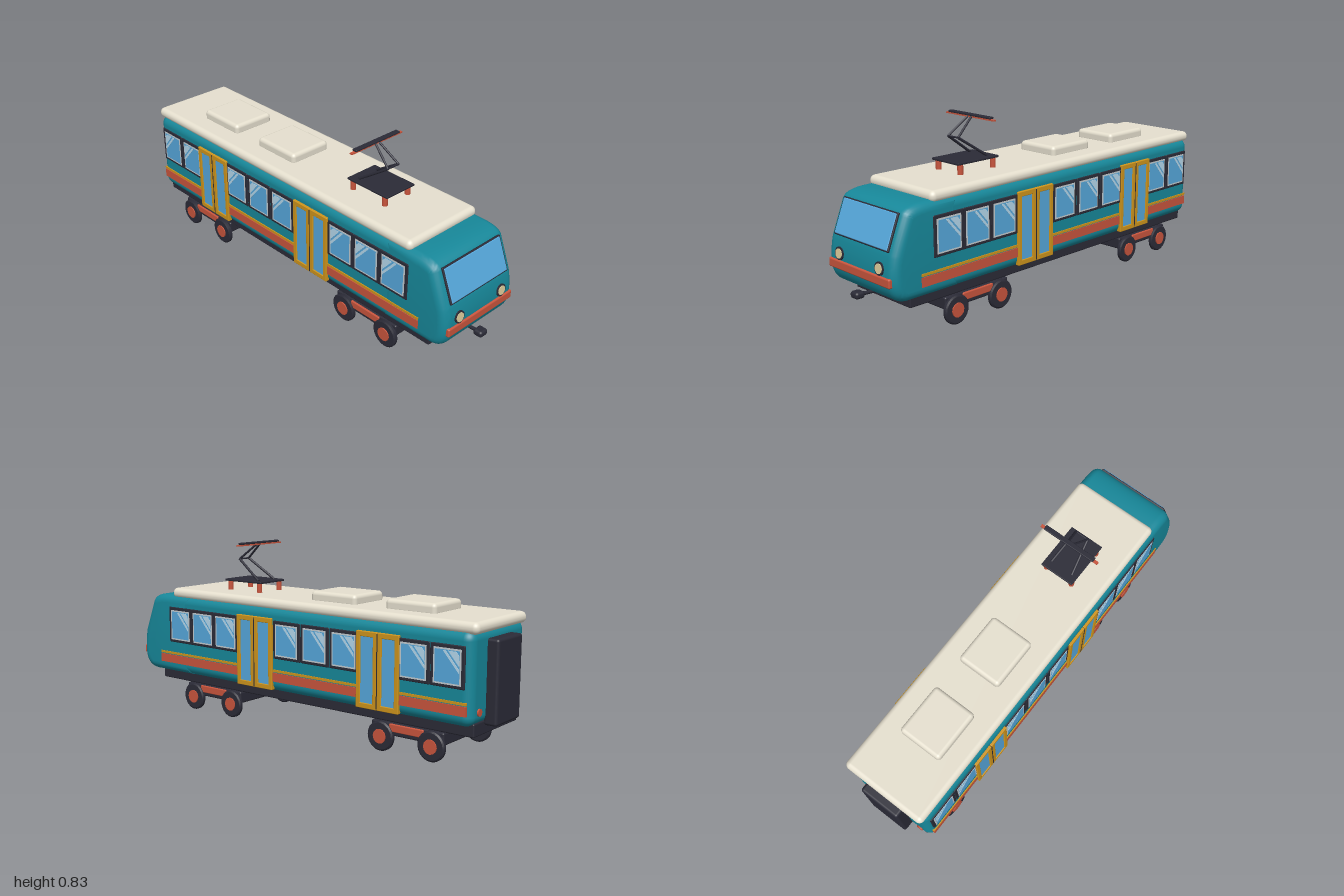
import * as THREE from 'three';
import { RoundedBoxGeometry } from 'three/addons/geometries/RoundedBoxGeometry.js';
import { toCreasedNormals } from 'three/addons/utils/BufferGeometryUtils.js';

const mat = (color) => new THREE.MeshStandardMaterial({ color });
const M = {
  teal: mat(0x17889a), cream: mat(0xe6e0cf), orange: mat(0xc9553d), gold: mat(0xcf951c),
  dark: mat(0x2b2b37), glass: mat(0x56a8dc), trim: mat(0xc3cdd2), lamp: mat(0xdccb9a), shine: mat(0xb5d9ee),
};

export function createModel() {
  const model = new THREE.Group();
  model.name = 'tram';

  const add = (name, geo, material, x = 0, y = 0, z = 0, parent = model) => {
    const mesh = new THREE.Mesh(geo, material);
    mesh.name = name;
    mesh.position.set(x, y, z);
    parent.add(mesh);
    return mesh;
  };
  // box given by its extents; z is centre and depth
  const box = (name, material, x0, x1, y0, y1, z, d, r = 0, parent = model) => {
    const w = x1 - x0, h = y1 - y0;
    const geo = r ? new RoundedBoxGeometry(w, h, d, 4, r) : new THREE.BoxGeometry(w, h, d);
    return add(name, geo, material, (x0 + x1) / 2, (y0 + y1) / 2, z, parent);
  };
  const rod = (name, a, b, r, material, parent = model) => {
    const from = new THREE.Vector3(...a), to = new THREE.Vector3(...b);
    const dir = to.clone().sub(from);
    const mesh = add(name, new THREE.CylinderGeometry(r, r, dir.length(), 12), material, 0, 0, 0, parent);
    mesh.position.copy(from).add(to).multiplyScalar(0.5);
    mesh.quaternion.setFromUnitVectors(new THREE.Vector3(0, 1, 0), dir.normalize());
    return mesh;
  };

  // Passenger body and roof
  box('body', M.teal, -0.95, 0.78, 0.177, 0.566, 0, 0.438, 0.042);
  box('roof', M.cream, -0.965, 0.752, 0.55, 0.6, 0, 0.42, 0.024);

  // Cab: side profile extruded across the width with rounded edges
  const bevel = 0.04;
  const profile = new THREE.Shape();
  profile.moveTo(0.62, 0.177);
  profile.lineTo(0.885, 0.177);
  profile.bezierCurveTo(0.935, 0.18, 0.962, 0.215, 0.964, 0.27);
  profile.quadraticCurveTo(0.966, 0.325, 0.951, 0.383);
  profile.lineTo(0.893, 0.528);
  profile.quadraticCurveTo(0.878, 0.566, 0.78, 0.566);
  profile.lineTo(0.62, 0.566);
  const cab = new THREE.ExtrudeGeometry(profile, {
    depth: 0.44 - 2 * bevel, bevelThickness: bevel, bevelSize: bevel,
    bevelOffset: -bevel, bevelSegments: 6, curveSegments: 10,
  });
  cab.translate(0, 0, -0.22 + bevel);
  add('cab', toCreasedNormals(cab, 0.6), M.teal);

  // Windscreen lying on the sloped cab face
  const screen = new THREE.Group();
  screen.name = 'windscreen';
  screen.position.set(0.921, 0.464, 0);
  screen.rotation.z = 0.38;
  model.add(screen);
  add('windscreenFrame', new RoundedBoxGeometry(0.012, 0.16, 0.36, 2, 0.004), M.dark, 0, 0, 0, screen);
  add('windscreenGlass', new RoundedBoxGeometry(0.012, 0.15, 0.348, 2, 0.004), M.glass, 0.003, 0, 0, screen);

  // Bumper, headlights, coupler
  box('bumper', M.orange, 0.925, 0.972, 0.25, 0.29, 0, 0.404, 0.007);
  for (const s of [-1, 1]) {
    const ring = add('headlightRing', new THREE.CylinderGeometry(0.028, 0.028, 0.02, 28), M.dark, 0.957, 0.318, s * 0.133);
    const lamp = add('headlight', new THREE.CylinderGeometry(0.021, 0.021, 0.024, 28), M.lamp, 0.958, 0.318, s * 0.133);
    ring.rotation.z = lamp.rotation.z = -Math.PI / 2 + 0.1;
  }
  box('coupler', M.dark, 0.955, 1, 0.165, 0.195, 0, 0.048, 0.012);
  rod('couplerShank', [0.84, 0.17, 0], [0.97, 0.178, 0], 0.008, M.dark);

  // Rear gangway and tail lights
  box('gangway', M.dark, -1, -0.94, 0.17, 0.525, 0, 0.2, 0.012);
  for (const s of [-1, 1]) {
    rod('tailLight', [-0.94, 0.235, s * 0.155], [-0.957, 0.235, s * 0.155], 0.016, M.orange);
  }

  // Window glare: two slanted bands
  const band = (a, b) => {
    const p = [[-0.056 + a, 0.056], [-0.056 + b, 0.056], [-0.056, 0.056 - b * 1.15], [-0.056, 0.056 - a * 1.15]];
    return new THREE.Shape(p.map(([x, y]) => new THREE.Vector2(x, y)));
  };
  const glare = new THREE.ExtrudeGeometry([band(0.014, 0.052), band(0.062, 0.076)], { depth: 0.002, bevelEnabled: false });
  glare.translate(0, 0, -0.001);

  const windows = [-0.842, -0.682, -0.33, -0.168, -0.006, 0.372, 0.526, 0.68];
  const doors = [-0.508, 0.185];
  for (const s of [-1, 1]) {
    // Side windows
    for (const x of windows) {
      const w = new THREE.Group();
      w.name = 'sideWindow';
      model.add(w);
      box('windowFrame', M.dark, x - 0.079, x + 0.079, 0.332, 0.507, s * 0.217, 0.014, 0.004, w);
      box('windowTrim', M.trim, x - 0.064, x + 0.064, 0.345, 0.492, s * 0.219, 0.013, 0, w);
      box('windowGlass', M.glass, x - 0.057, x + 0.057, 0.352, 0.485, s * 0.22, 0.013, 0, w);
      add('windowGlare', glare, M.shine, x, 0.426, s * 0.2265, w);
    }
    // Double doors: framed leaves around glass
    for (const x of doors) {
      for (const k of [-1, 1]) {
        const leaf = new THREE.Group();
        leaf.name = 'doorLeaf';
        model.add(leaf);
        const c = x + k * 0.0545;
        box('doorGlass', M.glass, c - 0.045, c + 0.045, 0.2, 0.505, s * 0.217, 0.018, 0, leaf);
        for (const e of [-1, 1]) {
          box('doorStile', M.gold, c + e * 0.043 - 0.0105, c + e * 0.043 + 0.0105, 0.185, 0.516, s * 0.22, 0.022, 0.003, leaf);
          const y = 0.3505 + e * 0.154;
          box('doorRail', M.gold, c - 0.053, c + 0.053, y - 0.0115, y + 0.0115, s * 0.22, 0.022, 0.003, leaf);
        }
        box('doorSeal', M.dark, x - 0.002, x + 0.002, 0.19, 0.51, s * 0.22, 0.0235, 0, leaf);
      }
    }
    // Stripes along the side
    box('orangeStripe', M.orange, -0.93, 0.825, 0.225, 0.266, s * 0.217, 0.013);
    box('goldStripe', M.gold, -0.93, 0.825, 0.27, 0.281, s * 0.217, 0.013);
  }

  // Chassis and bogies
  box('chassis', M.dark, -0.945, 0.855, 0.133, 0.19, 0, 0.36, 0.006);
  for (const x of [-0.631, 0.496]) {
    const bogie = new THREE.Group();
    bogie.name = 'bogie';
    bogie.position.x = x;
    model.add(bogie);
    box('bogieFrame', M.dark, -0.18, 0.18, 0.075, 0.131, 0, 0.37, 0.008, bogie);
    for (const s of [-1, 1]) {
      box('bogieSideBeam', M.orange, -0.085, 0.085, 0.094, 0.128, s * 0.185, 0.014, 0.004, bogie);
      for (const k of [-1, 1]) {
        const wx = k * 0.126;
        // tyre with softened rims
        const tyre = [[0, -0.011], [0.058, -0.011], [0.065, -0.006], [0.065, 0.006], [0.058, 0.011], [0, 0.011]]
          .map(([r, h]) => new THREE.Vector2(r, h));
        const wheel = add('wheel', toCreasedNormals(new THREE.LatheGeometry(tyre, 36), 0.5), M.dark, wx, 0.068, s * 0.189, bogie);
        wheel.rotation.x = Math.PI / 2;
        rod('wheelHub', [wx, 0.068, s * 0.185], [wx, 0.068, s * 0.205], 0.032, M.orange, bogie);
      }
    }
  }

  // Roof units
  for (const x of [-0.585, -0.178]) box('roofUnit', M.cream, x - 0.125, x + 0.125, 0.585, 0.641, 0, 0.216, 0.018);

  // Pantograph
  const panto = new THREE.Group();
  panto.name = 'pantograph';
  model.add(panto);
  box('pantographBase', M.dark, 0.27, 0.505, 0.643, 0.653, 0, 0.17, 0.003, panto);
  for (const s of [-1, 1]) {
    for (const x of [0.292, 0.48]) rod('insulator', [x, 0.595, s * 0.07], [x, 0.645, s * 0.07], 0.013, M.orange, panto);
    const knee = [0.455, 0.748, s * 0.032];
    rod('lowerArm', [0.31, 0.652, s * 0.056], knee, 0.006, M.dark, panto);
    rod('upperArm', knee, [0.355, 0.828, s * 0.01], 0.005, M.dark, panto);
  }
  rod('kneeBar', [0.455, 0.748, -0.032], [0.455, 0.748, 0.032], 0.004, M.dark, panto);
  box('contactStrip', M.dark, 0.343, 0.367, 0.827, 0.836, 0, 0.264, 0.003, panto);
  box('contactHorn', M.orange, 0.348, 0.362, 0.82, 0.826, 0, 0.304, 0, panto);

  return model;
}
